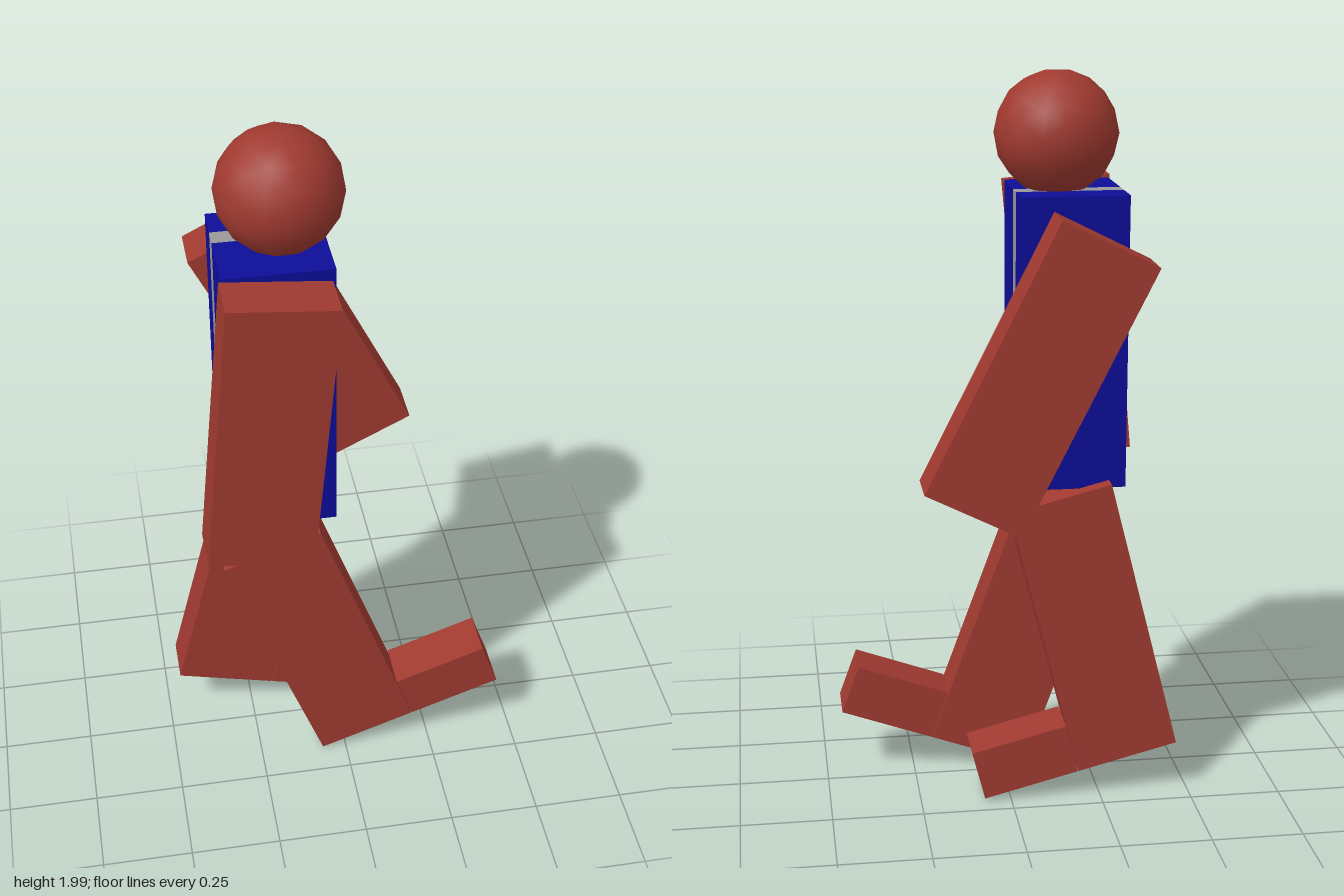
import * as THREE from 'three';

export function createModel() {
  const model = new THREE.Group();
  const skin = new THREE.MeshStandardMaterial({ color: 0xa03a30 });
  const blue = new THREE.MeshStandardMaterial({ color: 0x0d0d99 });
  const grey = new THREE.MeshStandardMaterial({ color: 0x999999 });

  // Box centred at (x, y, z), tilted in the plane of walking
  function block(name, size, position, tilt, material, parent = model) {
    const mesh = new THREE.Mesh(new THREE.BoxGeometry(...size), material);
    mesh.name = name;
    mesh.position.set(...position);
    mesh.rotation.z = tilt;
    parent.add(mesh);
    return mesh;
  }

  // Head
  const head = new THREE.Mesh(new THREE.IcosahedronGeometry(0.166, 2), skin);
  head.name = 'head';
  head.position.set(-0.145, 1.835, 0.004);
  model.add(head);

  // Torso: two blue jacket halves with a grey stripe between, walking toward +x
  const torso = new THREE.Group();
  torso.name = 'torso';
  model.add(torso);
  for (const [name, back, front, material] of [
    ['jacketRight', -0.01, 0.162, blue],
    ['stripe', -0.062, -0.01, grey],
    ['jacketLeft', -0.155, -0.062, blue],
  ]) {
    block(name, [0.287, 0.79, front - back], [-0.172, 1.295, (back + front) / 2], 0, material, torso);
  }

  // Arms and legs share one limb size
  const limb = [0.284, 0.79, 0.135];
  block('rightArm', limb, [-0.218, 1.29, 0.25], -0.092, skin);
  block('leftArm', limb, [-0.06, 1.24, -0.252], 0.466, skin);

  // Each foot is a child of its leg, level with the sole and pointing forward
  for (const [name, position, tilt] of [
    ['right', [-0.07, 0.43, 0.095], 0.35],
    ['left', [-0.23, 0.503, -0.13], -0.249],
  ]) {
    const leg = block(name + 'Leg', limb, position, tilt, skin);
    block(name + 'Foot', [0.27, 0.143, 0.135], [0.279, -0.3235, 0], 0, skin, leg);
  }
  return model;
}
